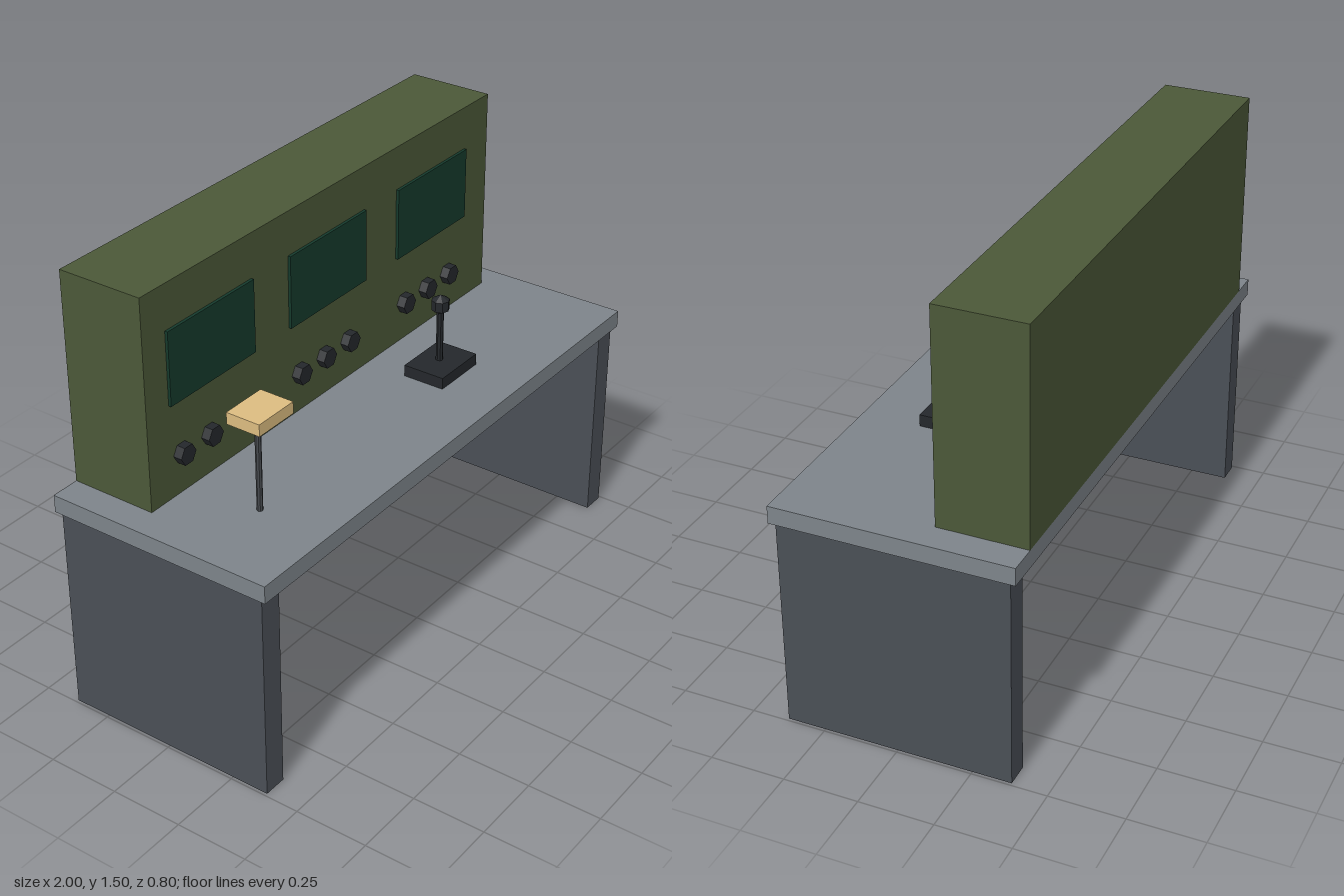
import * as THREE from 'three';

const material = (color) => new THREE.MeshStandardMaterial({ color, flatShading: true });

export function createModel() {
  const model = new THREE.Group();
  model.name = 'controlDesk';

  const deskGrey = material(0x7d848a);
  const legGrey = material(0x4a4f56);
  const green = material(0x4b5838);
  const screenGreen = material(0x153a2c);
  const black = material(0x24272b);
  const postGrey = material(0x44484c);
  const tan = material(0xdcbc80);

  const add = (name, geometry, mat, x, y, z, parent = model) => {
    const mesh = new THREE.Mesh(geometry, mat);
    mesh.name = name;
    mesh.position.set(x, y, z);
    parent.add(mesh);
    return mesh;
  };
  const box = (w, h, d) => new THREE.BoxGeometry(w, h, d);

  // Desk: top slab on two side panels
  add('deskTop', box(2, 0.06, 0.8), deskGrey, 0, 0.75, 0);
  for (const side of [-1, 1]) {
    add(side < 0 ? 'rightLegPanel' : 'leftLegPanel', box(0.08, 0.72, 0.76), legGrey, side * 0.95, 0.36, 0);
  }

  // Upright console cabinet
  add('consoleCabinet', box(1.8, 0.72, 0.3), green, 0, 1.14, -0.25);

  // Three screens, each with a row of three hexagonal knobs
  const knob = new THREE.CylinderGeometry(0.035, 0.035, 0.04, 6, 1, false, Math.PI / 6);
  knob.rotateX(Math.PI / 2);
  for (let i = 0; i < 3; i++) {
    const station = new THREE.Group();
    station.name = `station${i + 1}`;
    station.position.x = -0.6 + i * 0.58;
    model.add(station);
    add('screen', box(0.4, 0.25, 0.02), screenGreen, 0, 1.225, -0.1, station);
    for (let k = 0; k < 3; k++) {
      add(`knob${k + 1}`, knob, black, -0.155 + k * 0.13, 0.92, -0.09, station);
    }
  }

  // Joystick: base block, stick and faceted ball
  const joystick = new THREE.Group();
  joystick.name = 'joystick';
  model.add(joystick);
  add('joystickBase', box(0.2, 0.04, 0.15), black, 0.3, 0.8, 0.125, joystick);
  add('joystickStick', new THREE.CylinderGeometry(0.012, 0.012, 0.2, 8), black, 0.3, 0.92, 0.12, joystick);
  add('joystickBall', new THREE.SphereGeometry(0.035, 8, 3), black, 0.3, 1.025, 0.12, joystick);

  // Small tan block on a thin post
  const stand = new THREE.Group();
  stand.name = 'postStand';
  model.add(stand);
  add('standPost', new THREE.CylinderGeometry(0.01, 0.01, 0.32, 8), postGrey, -0.7, 0.94, 0.15, stand);
  add('standHead', box(0.16, 0.04, 0.12), tan, -0.7, 1.12, 0.16, stand);

  return model;
}
